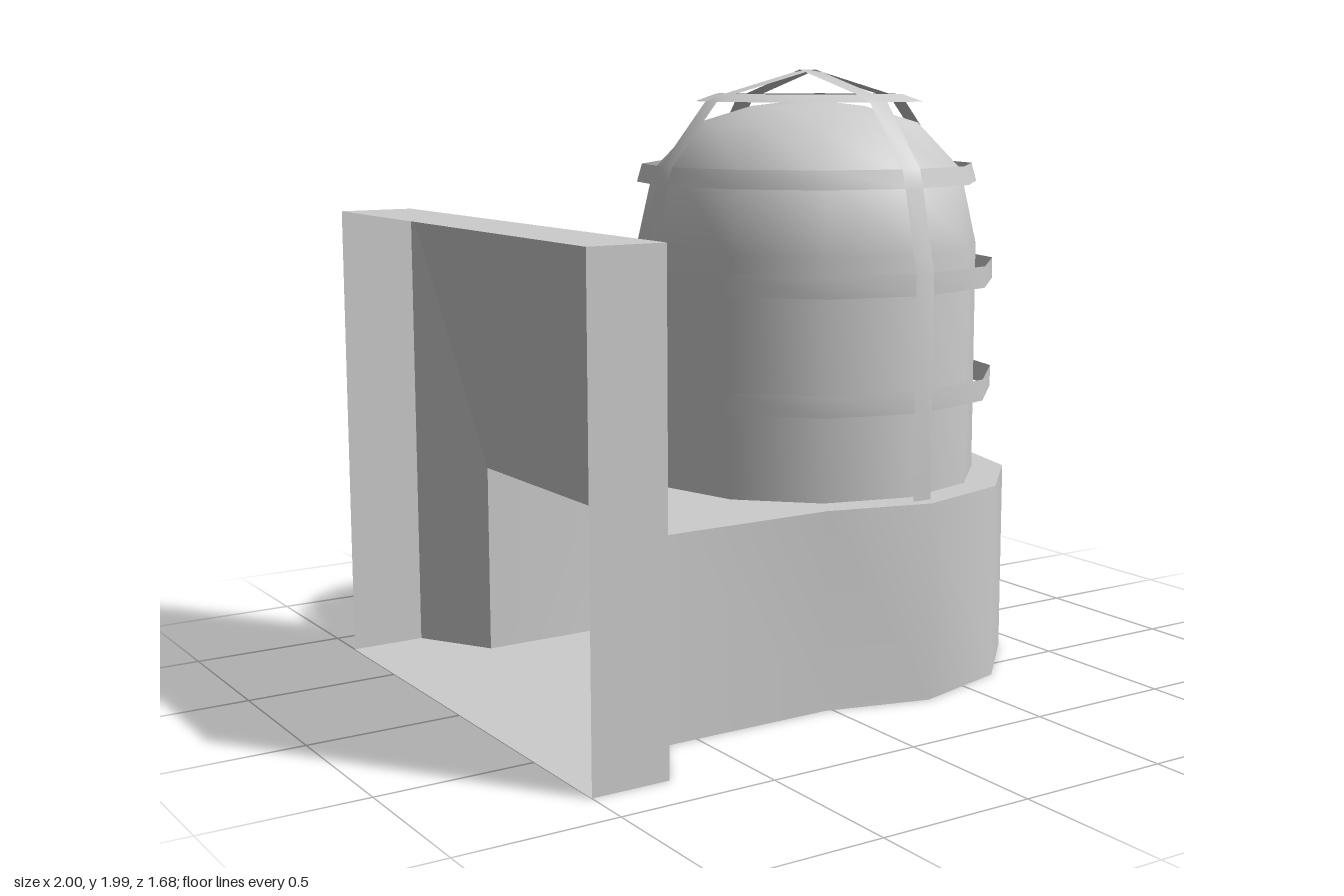
import * as THREE from 'three';
import { toCreasedNormals } from 'three/addons/utils/BufferGeometryUtils.js';

const CX = 0.318; // lamp axis
const BASE_H = 0.64;
const material = new THREE.MeshStandardMaterial({ color: 0xcccccc, side: THREE.DoubleSide });

function addMesh(parent, name, geometry) {
  const mesh = new THREE.Mesh(geometry, material);
  mesh.name = name;
  parent.add(mesh);
  return mesh;
}

// Strip of quads between two polylines of [x, y, z] points
function strip(lower, upper, crease = 0.6) {
  const index = [];
  for (let i = 0; i < lower.length - 1; i++) {
    const a = i * 2;
    index.push(a, a + 2, a + 1, a + 1, a + 2, a + 3);
  }
  const g = new THREE.BufferGeometry();
  const points = lower.flatMap((p, i) => [...p, ...upper[i]]);
  g.setAttribute('position', new THREE.Float32BufferAttribute(points, 3));
  g.setIndex(index);
  return toCreasedNormals(g, crease);
}

// Flat horizontal panel from an [x, z] outline
function panel(outline, y, faceUp) {
  const sign = faceUp ? -1 : 1;
  const shape = new THREE.Shape(outline.map(([x, z]) => new THREE.Vector2(x, sign * z)));
  return new THREE.ShapeGeometry(shape).rotateX(sign * Math.PI / 2).translate(0, y, 0);
}

// Closed cage band with lower and upper radii
function band(sides, r0, y0, r1, y1) {
  const loop = (r, y) => Array.from({ length: sides + 1 }, (_, i) => {
    const a = (i / sides) * Math.PI * 2;
    return [CX + r * Math.cos(a), y, -r * Math.sin(a)];
  });
  return strip(loop(r0, y0), loop(r1, y1));
}

export function createModel() {
  const group = new THREE.Group();

  // Housing outline: rounded nose joined to a straight neck
  const R = 0.682;
  const nose = [];
  for (let i = -4; i <= 4; i++) {
    const a = (-i * Math.PI) / 6;
    nose.push([CX + R * Math.cos(a), R * Math.sin(a)]);
  }
  const neckZ = R * Math.sin(Math.PI / 3);
  const neck = [[-0.6, neckZ], ...nose, [-0.6, -neckZ]];
  const plate = [[-1, 0.84], [-0.75, 0.84]];
  const mirrored = plate.map(([x, z]) => [x, -z]).reverse();
  const full = [...plate, ...neck, ...mirrored];

  // Hollow housing, open at the mounting side
  const housing = new THREE.Group();
  housing.name = 'housing';
  group.add(housing);
  const height = x => (x < -0.7 ? 1.52 : BASE_H);
  addMesh(housing, 'housingWalls', strip(
    full.map(([x, z]) => [x, 0, z]),
    full.map(([x, z]) => [x, height(x), z])));
  addMesh(housing, 'housingFloor', panel(full, 0, false));
  addMesh(housing, 'housingTop', panel(neck, BASE_H, true));
  addMesh(housing, 'wallPlateTop', panel([...plate, ...mirrored], 1.52, true));
  addMesh(housing, 'wallPlateSlope', strip(
    [[-0.6, BASE_H, neckZ], [-0.6, BASE_H, -neckZ]],
    [[-0.75, 1.52, 0.84], [-0.75, 1.52, -0.84]]));

  // Domed lens
  const profile = [[0.574, BASE_H], [0.574, 1.41], [0.518, 1.66], [0.37, 1.815], [0.19, 1.87], [0, 1.892]]
    .map(([r, y]) => new THREE.Vector2(r, y));
  addMesh(group, 'lens', new THREE.LatheGeometry(profile, 12)).position.x = CX;

  // Protective cage: horizontal bands and crossing straps
  const cage = new THREE.Group();
  cage.name = 'cage';
  group.add(cage);
  addMesh(cage, 'lowerBand', band(12, 0.632, 0.92, 0.632, 0.99));
  addMesh(cage, 'middleBand', band(12, 0.632, 1.29, 0.632, 1.36));
  addMesh(cage, 'upperBand', band(12, 0.572, 1.62, 0.555, 1.68));
  addMesh(cage, 'crownBand', band(8, 0.385, 1.885, 0.315, 1.91));

  const side = [[0.632, BASE_H], [0.632, 1.36], [0.572, 1.62], [0.555, 1.68], [0.385, 1.885], [0.315, 1.91]];
  const arch = [...side, [0, 1.99], ...side.map(([r, y]) => [-r, y]).reverse()];
  const half = 0.035;
  addMesh(cage, 'sideStrap', strip(
    arch.map(([r, y]) => [CX + r, y, half]),
    arch.map(([r, y]) => [CX + r, y, -half])));
  addMesh(cage, 'frontBackStrap', strip(
    arch.map(([r, y]) => [CX - half, y, r]),
    arch.map(([r, y]) => [CX + half, y, r])));

  return group;
}
